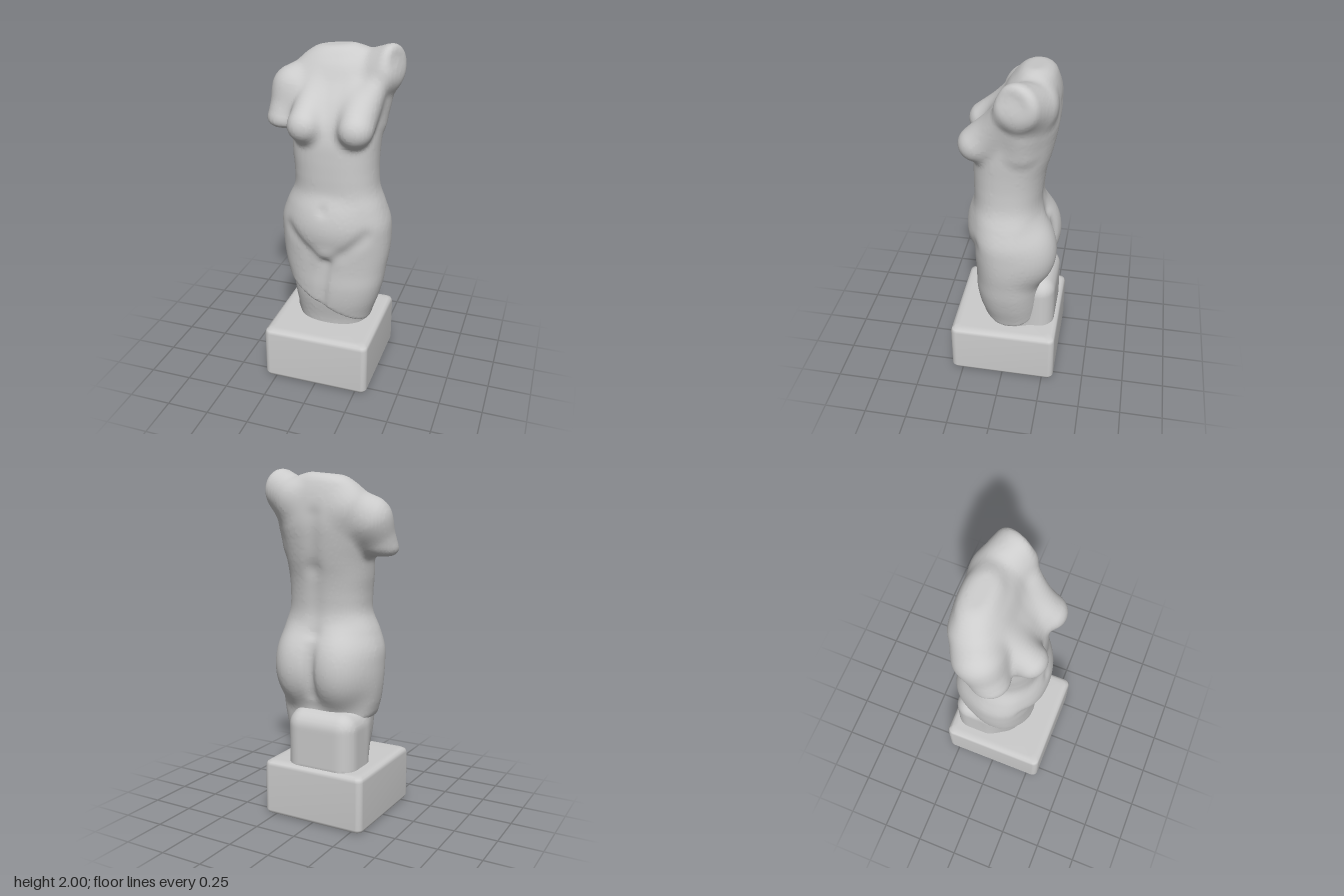
import * as THREE from 'three';

const V = (x, y, z) => new THREE.Vector3(x, y, z);
const material = new THREE.MeshStandardMaterial({ color: 0xcccccc, roughness: 0.8 });

// --- sculpting helpers: signed distances, negative inside ---
const smoothMin = (a, b, k) => {
  const h = Math.max(k - Math.abs(a - b), 0) / k;
  return Math.min(a, b) - h * h * k / 4;
};
const smoothMax = (a, b, k) => -smoothMin(-a, -b, k);

function ellipsoid(p, c, r) {
  const x = (p.x - c.x) / r.x, y = (p.y - c.y) / r.y, z = (p.z - c.z) / r.z;
  const q = Math.hypot(x, y, z);
  return q * (q - 1) / (Math.hypot(x / r.x, y / r.y, z / r.z) + 1e-6);
}

const ab = V(0, 0, 0), ap = V(0, 0, 0);
function taper(p, a, b, ra, rb) {
  ab.subVectors(b, a);
  ap.subVectors(p, a);
  const t = THREE.MathUtils.clamp(ap.dot(ab) / (ab.lengthSq() + 1e-9), 0, 1);
  return ap.addScaledVector(ab, -t).length() - ra - (rb - ra) * t;
}

function roundBox(p, c, half, r) {
  const x = Math.abs(p.x - c.x) - half.x + r;
  const y = Math.abs(p.y - c.y) - half.y + r;
  const z = Math.abs(p.z - c.z) - half.z + r;
  return Math.hypot(Math.max(x, 0), Math.max(y, 0), Math.max(z, 0)) + Math.min(Math.max(x, y, z), 0) - r;
}

// Cross-sections of the trunk: height, then right, left, front and back limits
const sections = [
  [0.28, -0.20, 0.235, 0.135, -0.20],
  [0.36, -0.215, 0.25, 0.145, -0.205],
  [0.50, -0.235, 0.295, 0.175, -0.21],
  [0.60, -0.245, 0.32, 0.185, -0.21],
  [0.70, -0.27, 0.335, 0.185, -0.212],
  [0.80, -0.285, 0.35, 0.19, -0.23],
  [0.90, -0.29, 0.355, 0.20, -0.24],
  [1.00, -0.285, 0.35, 0.21, -0.24],
  [1.10, -0.25, 0.32, 0.205, -0.22],
  [1.20, -0.205, 0.285, 0.19, -0.20],
  [1.30, -0.203, 0.275, 0.19, -0.205],
  [1.40, -0.213, 0.275, 0.19, -0.22],
  [1.50, -0.22, 0.28, 0.185, -0.245],
  [1.60, -0.235, 0.285, 0.16, -0.265],
  [1.70, -0.25, 0.295, 0.11, -0.278],
  [1.80, -0.25, 0.28, 0.045, -0.273],
  [1.88, -0.21, 0.24, 0.0, -0.258],
  [1.94, -0.155, 0.16, -0.045, -0.235],
  [2.00, -0.10, 0.10, -0.075, -0.20],
];
const limits = new THREE.CubicInterpolant(sections.map(s => s[0]), sections.flatMap(s => s.slice(1)), 4, new Float32Array(4));

function trunk(p) {
  const [l, r, f, b] = limits.evaluate(THREE.MathUtils.clamp(p.y, 0.28, 2));
  const rx = (r - l) / 2, rz = (f - b) / 2, n = 2.3;
  const u = Math.abs(p.x - (l + r) / 2) / rx, v = Math.abs(p.z - (f + b) / 2) / rz;
  const q = Math.pow(u ** n + v ** n, 1 / n);
  return q * (q - 1) / (Math.hypot(u / rx, v / rz) + 1e-3);
}

// Swellings: centre, radii, blend
const swellings = [
  [V(0.025, 0.99, 0.11), V(0.18, 0.18, 0.12), 0.07],      // belly
  [V(0.03, 0.83, 0.11), V(0.09, 0.09, 0.09), 0.06],
  [V(-0.085, 0.88, -0.155), V(0.14, 0.2, 0.137), 0.09],   // buttocks
  [V(0.155, 0.88, -0.155), V(0.14, 0.2, 0.137), 0.09],
];
// Tapered forms: from, to, both radii, blend
const tapers = [
  [V(-0.085, 1.76, -0.06), V(-0.1, 1.58, 0.15), 0.085, 0.095, 0.05], // breasts
  [V(0.15, 1.76, -0.06), V(0.185, 1.58, 0.15), 0.085, 0.095, 0.05],
  [V(0.27, 1.83, -0.03), V(0.19, 1.62, 0.10), 0.06, 0.07, 0.06],     // band from raised arm to breast
  [V(0.28, 1.84, -0.10), V(0.225, 1.58, -0.09), 0.065, 0.06, 0.06],  // flank under the raised arm
  [V(-0.14, 1.77, -0.13), V(-0.225, 1.715, -0.07), 0.115, 0.128, 0.05], // right shoulder
];
// Grooves: from, to, depth, width
const grooves = [
  [V(-0.20, 0.96, 0.17), V(0.02, 0.78, 0.20), 0.011, 0.042], // groin
  [V(0.26, 0.96, 0.17), V(0.04, 0.78, 0.20), 0.011, 0.042],
  [V(0.03, 0.77, 0.19), V(-0.01, 0.42, 0.17), 0.018, 0.03],  // between the thighs
  [V(0.035, 1.02, -0.28), V(0.035, 0.74, -0.26), 0.028, 0.032], // between the buttocks
  [V(0.035, 1.10, -0.22), V(0.03, 1.45, -0.24), 0.013, 0.045], // spine
  [V(0.03, 1.45, -0.24), V(0.0, 1.74, -0.285), 0.012, 0.045],
  [V(0.02, 1.11, 0.22), V(0.02, 1.12, 0.22), 0.008, 0.028],  // navel
];
const rightArm = [V(-0.225, 1.715, -0.07), V(-0.262, 1.56, 0.0), 0.128, 0.107];
const leftArm = [V(0.19, 1.83, -0.15), V(0.36, 1.9, -0.07), 0.118, 0.113];
const leftCut = V(0.93, 0.1, 0.35).normalize(), leftCutAt = V(0.345, 1.9, -0.07);

// Slanting lower edge of the thighs
const thighCut = p => (0.6 - (p.x + 0.24) * 0.55 - p.y) * 0.876;

function torsoField(p) {
  let d = smoothMax(trunk(p), p.y - 0.1 * p.x - 1.968, 0.05);
  for (const [c, r, k] of swellings) d = smoothMin(d, ellipsoid(p, c, r), k);
  for (const [a, b, ra, rb, k] of tapers) d = smoothMin(d, taper(p, a, b, ra, rb), k);
  d = smoothMin(d, smoothMax(taper(p, ...rightArm), 1.52 - p.y, 0.05), 0.04);
  const face = ap.subVectors(p, leftCutAt).dot(leftCut);
  d = smoothMin(d, smoothMax(taper(p, ...leftArm), face, 0.055), 0.06);
  for (const [a, b, depth, w] of grooves) d += depth * Math.exp(-((taper(p, a, b, 0, 0) / w) ** 2));
  return Math.max(smoothMax(d, thighCut(p), 0.025), 0.31 - p.y);
}

// Core below the thighs, with the block behind the legs
function supportField(p) {
  const core = Math.max(trunk(p) + 0.016, p.y - 0.63);
  const block = roundBox(p, V(-0.02, 0.43, -0.14), V(0.215, 0.22, 0.152), 0.095);
  return Math.max(smoothMin(core, block, 0.04), 0.31 - p.y);
}

// Skin a distance field: one vertex per crossed grid cell, pulled onto the surface
function skin(field, min, max, h) {
  const n = max.clone().sub(min).divideScalar(h).ceil().toArray();
  const stride = [1, n[0], n[0] * n[1]];
  const values = new Float32Array(n[0] * n[1] * n[2]);
  const p = V(0, 0, 0), g = V(0, 0, 0), lo = V(0, 0, 0), hi = V(0, 0, 0), e = 0.002;
  const each = fn => {
    for (let k = 0; k < n[2]; k++) for (let j = 0; j < n[1]; j++) for (let i = 0; i < n[0]; i++)
      fn([i, j, k], i + j * stride[1] + k * stride[2]);
  };
  each((c, at) => { values[at] = field(p.fromArray(c).multiplyScalar(h).add(min)); });

  const positions = [], index = [], ids = new Map();
  function vertex(c, at) {
    if (ids.has(at)) return ids.get(at);
    lo.fromArray(c).multiplyScalar(h).add(min);
    hi.copy(lo).addScalar(h);
    p.copy(lo).addScalar(h / 2);
    for (let s = 0; s < 4; s++) {
      const d = field(p);
      for (const axis of ['x', 'y', 'z']) {
        p[axis] += e;
        g[axis] = (field(p) - d) / e;
        p[axis] -= e;
      }
      p.addScaledVector(g, -d / Math.max(g.lengthSq(), 0.1)).clamp(lo, hi);
    }
    ids.set(at, positions.length / 3);
    positions.push(p.x, p.y, p.z);
    return ids.get(at);
  }
  each((c, at) => {
    for (let a = 0; a < 3; a++) {
      const b = (a + 1) % 3, d = (a + 2) % 3;
      if (c[a] + 1 >= n[a] || !c[b] || !c[d]) continue;
      const inside = values[at] < 0;
      if (inside === values[at + stride[a]] < 0) continue;
      const q = [[0, 0], [1, 0], [1, 1], [0, 1]].map(([u, v]) => {
        const cell = c.slice();
        cell[b] -= u;
        cell[d] -= v;
        return vertex(cell, at - u * stride[b] - v * stride[d]);
      });
      if (!inside) q.reverse();
      index.push(q[0], q[1], q[2], q[0], q[2], q[3]);
    }
  });
  return smoothGeometry(positions, index);
}

function smoothGeometry(positions, index) {
  const geometry = new THREE.BufferGeometry();
  geometry.setAttribute('position', new THREE.Float32BufferAttribute(positions, 3));
  geometry.setIndex(index);
  geometry.computeVertexNormals();
  return geometry;
}

// Rounded square plinth, lofted from the recess underneath up to the top
function plinthGeometry() {
  const rings = [[0, 0.045], [0.19, 0.045], [0.2, 0.04], [0.225, 0.006], [0.235, 0], [0.295, 0], [0.312, 0.007],
    [0.32, 0.025], [0.32, 0.3], [0.313, 0.318], [0.297, 0.327], [0.27, 0.33], [0, 0.33]];
  const positions = [], index = [], steps = 6, count = 4 * (steps + 1);
  for (const [half, y] of rings) {
    const r = Math.min(0.035, half);
    for (let k = 0; k < 4; k++) for (let s = 0; s <= steps; s++) {
      const t = (k + s / steps) * Math.PI / 2, m = (k + 0.5) * Math.PI / 2;
      positions.push(Math.sign(Math.cos(m)) * (half - r) + r * Math.cos(t), y,
        Math.sign(Math.sin(m)) * (half - r) + r * Math.sin(t));
    }
  }
  for (let i = 0; i < rings.length - 1; i++) for (let j = 0; j < count; j++) {
    const a = i * count + j, b = i * count + (j + 1) % count;
    index.push(a, a + count, b, b, a + count, b + count);
  }
  return smoothGeometry(positions, index);
}

export function createModel() {
  const group = new THREE.Group();
  const add = (name, geometry) => {
    const mesh = new THREE.Mesh(geometry, material);
    mesh.name = name;
    group.add(mesh);
  };
  add('torso', skin(torsoField, V(-0.42, 0.28, -0.35), V(0.42, 2.05, 0.3), 0.014));
  add('supportBlock', skin(supportField, V(-0.3, 0.28, -0.35), V(0.36, 0.7, 0.24), 0.014));
  add('plinth', plinthGeometry());
  return group;
}
